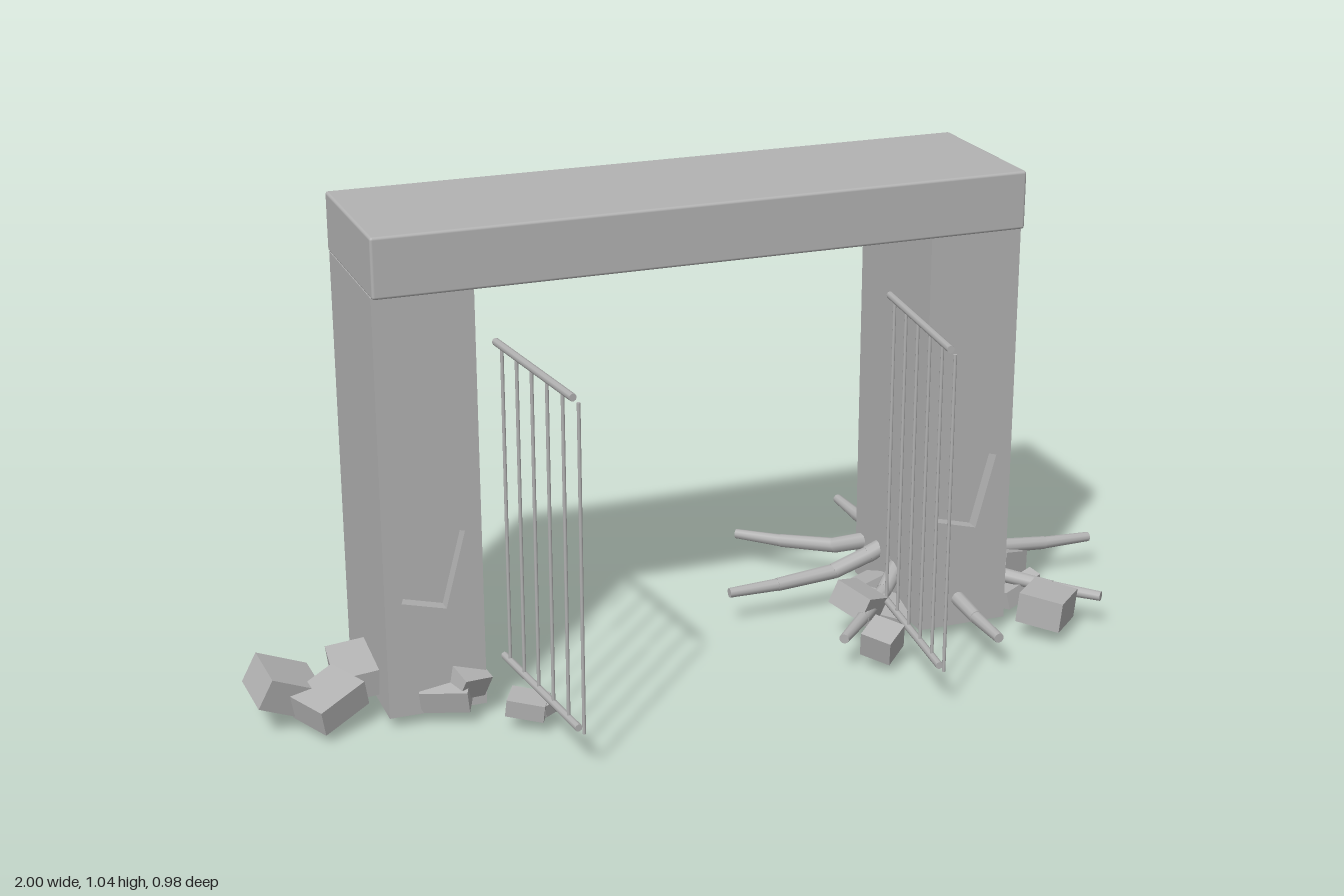
import * as THREE from 'three';
import { RoundedBoxGeometry } from 'three/addons/geometries/RoundedBoxGeometry.js';

const stone = new THREE.MeshStandardMaterial({ color: 0xb2b2b2 });
stone.name = 'grey stone';

function add(parent, name, geometry, x = 0, y = 0, z = 0) {
  const mesh = new THREE.Mesh(geometry, stone);
  mesh.name = name;
  mesh.position.set(x, y, z);
  parent.add(mesh);
  return mesh;
}

// Round rod between two points
function rod(parent, name, a, b, r0, r1 = r0, sides = 8) {
  const dir = b.clone().sub(a);
  const mesh = add(parent, name, new THREE.CylinderGeometry(r1, r0, dir.length(), sides));
  mesh.position.copy(a).add(b).multiplyScalar(0.5);
  mesh.quaternion.setFromUnitVectors(new THREE.Vector3(0, 1, 0), dir.normalize());
  return mesh;
}

// Pillar with a slanted gouge cut into its front face
function pillar(name, x) {
  const group = new THREE.Group();
  group.name = name;
  const w = 0.103, y0 = 0.025, y1 = 0.922, depth = 0.03;
  const face = new THREE.Shape([[-w, y0], [w, y0], [w, y1], [-w, y1]].map(p => new THREE.Vector2(...p)));
  const c = Math.cos(-0.26), s = Math.sin(-0.26);
  const hole = [[-0.048, -0.085], [-0.048, 0.085], [0.048, 0.085], [0.048, -0.085]]
    .map(([u, v]) => new THREE.Vector2(u * c - v * s, 0.345 + u * s + v * c));
  face.holes.push(new THREE.Path(hole));
  add(group, 'pillarFace', new THREE.ExtrudeGeometry(face, { depth, bevelEnabled: false }), 0, 0, 0.162 - depth);
  add(group, 'pillarCore', new THREE.BoxGeometry(2 * w, y1 - y0, 0.342 - depth), 0, (y0 + y1) / 2, -0.024);
  group.position.x = x;
  return group;
}

// Open gate leaf; side is -1 or 1 about the middle of the arch
function gate(name, side) {
  const group = new THREE.Group();
  group.name = name;
  const at = (z, y) => new THREE.Vector3(side * (0.393 + (0.46 - z) * 0.108), y, z);
  for (const y of [0.091, 0.781]) rod(group, 'gateRail', at(0.46, y), at(0.09, y), 0.008);
  for (let i = 0; i < 6; i++) {
    const z = 0.485 - i * 0.0728;
    rod(group, 'gateBar', at(z, 0.09), at(z, 0.779), 0.0038);
  }
  group.position.x = -0.032;
  return group;
}

// Eight jointed roots spreading from one pillar
function roots() {
  const group = new THREE.Group();
  group.name = 'roots';
  const path = [[0.06, 0.14], [0.11, 0.118], [0.19, 0.09], [0.32, 0.079], [0.43, 0.077]];
  const radii = [0.019, 0.019, 0.017, 0.014, 0.01];
  for (let i = 0; i < 8; i++) {
    const a = i * Math.PI / 4;
    const k = i % 4 === 0 ? 1.047 : i % 2 ? 1.02 : 0.988;
    const pts = path.map(([r, y]) => new THREE.Vector3(Math.cos(a) * r * k, y, Math.sin(a) * r * k));
    for (let j = 0; j < 4; j++) {
      rod(group, 'rootSegment', pts[j], pts[j + 1], radii[j], radii[j + 1] + 0.001, 10);
      if (j) add(group, 'rootJoint', new THREE.SphereGeometry(radii[j] * 0.98, 10, 8)).position.copy(pts[j]);
    }
  }
  group.position.set(0.552, 0, -0.066);
  return group;
}

// Fallen blocks: centre, size, rotation
const rubble = [
  [-0.925, 0.082, 0.05, 0.12, 0.07, 0.11, 0.15, 0.1, -0.45],
  [-0.845, 0.066, 0.112, 0.12, 0.058, 0.1, 0.1, 0.5, 0.2],
  [-0.765, 0.076, 0.015, 0.1, 0.06, 0.13, 0.15, -0.08, 0.15],
  [-0.91, 0.05, -0.05, 0.026, 0.026, 0.022, 0.3, 0.5, 0.2],
  [-0.605, 0.062, 0.145, 0.1, 0.05, 0.09, 0.25, -0.4, 0.15],
  [-0.565, 0.085, 0.16, 0.07, 0.05, 0.06, 0.4, 0.3, -0.3],
  [-0.465, 0.052, 0.25, 0.08, 0.038, 0.06, 0.1, -0.5, -0.08],
  [-0.43, 0.05, 0.265, 0.028, 0.03, 0.03, 0.2, 0.4, 0.1],
  [0.738, 0.068, 0.225, 0.105, 0.068, 0.1, 0.12, 0.75, -0.12],
  [0.75, 0.066, -0.032, 0.1, 0.055, 0.095, -0.15, 0.6, -0.2],
  [0.79, 0.046, 0.045, 0.04, 0.032, 0.034, 0.2, 0.3, 0.2],
  [0.69, 0.045, 0.075, 0.07, 0.04, 0.13, -0.2, 0.4, 0.2],
  [0.33, 0.062, 0.248, 0.07, 0.06, 0.07, 0.2, 0.7, 0.15],
  [0.335, 0.097, 0.11, 0.08, 0.055, 0.09, 0.3, 0.5, -0.45],
  [0.41, 0.0435, 0.07, 0.11, 0.04, 0.1, 0.2, -0.4, -0.2],
  [0.42, 0.055, -0.03, 0.09, 0.045, 0.08, -0.3, 0.3, 0.2],
];

export function createModel() {
  const model = new THREE.Group();
  model.name = 'ruinedGateway';
  model.add(pillar('rightPillar', -0.629), pillar('leftPillar', 0.563));
  add(model, 'lintel', new RoundedBoxGeometry(1.4, 0.125, 0.368, 2, 0.006), -0.032, 0.983, -0.009);
  model.add(gate('rightGate', -1), gate('leftGate', 1), roots());
  const blocks = new THREE.Group();
  blocks.name = 'rubble';
  for (const [x, y, z, w, h, d, rx, ry, rz] of rubble) {
    add(blocks, 'fallenBlock', new THREE.BoxGeometry(w, h, d), x, y, z).rotation.set(rx, ry, rz);
  }
  model.add(blocks);
  return model;
}
